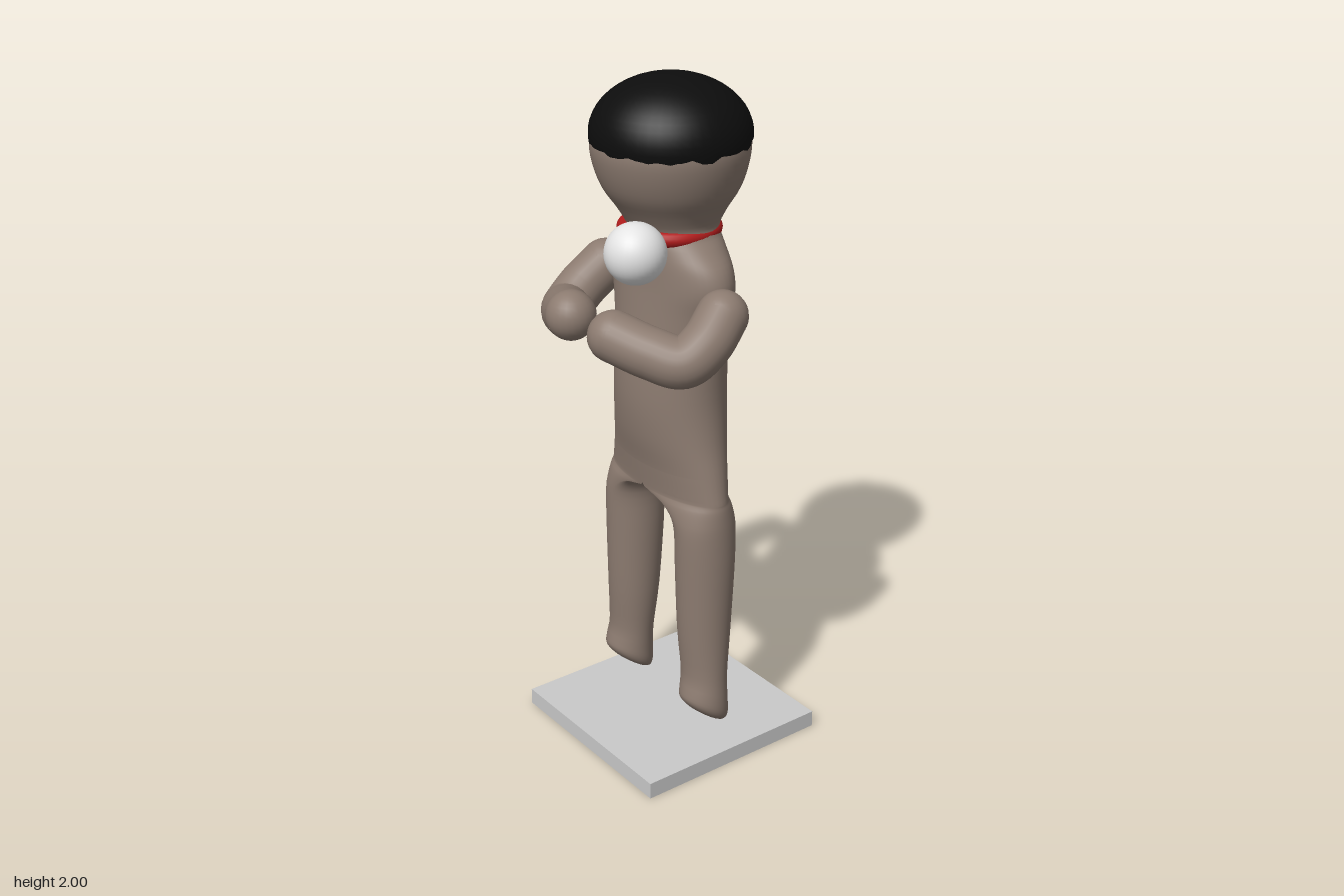
import * as THREE from 'three';

const mat = (name, color, side = THREE.FrontSide) => {
  const m = new THREE.MeshStandardMaterial({ color });
  m.name = name;
  m.side = side;
  return m;
};

// Smoothly subdivide rows of section parameters
function smooth(rows, steps) {
  const out = [];
  const at = i => rows[Math.max(0, Math.min(rows.length - 1, i))];
  for (let i = 0; i < rows.length - 1; i++) {
    for (let s = 0; s < steps; s++) {
      const t = s / steps;
      out.push(rows[i].map((b, k) => {
        const a = at(i - 1)[k], c = at(i + 1)[k], d = at(i + 2)[k];
        return b + 0.5 * t * (c - a + t * (2 * a - 5 * b + 4 * c - d + t * (3 * (b - c) + d - a)));
      }));
    }
  }
  out.push(rows[rows.length - 1]);
  return out;
}

// Loft downwards through rows of [y, centre x, radius +x, radius -x, centre z, radius z, slope]
function loft(rows, n = 48) {
  const pos = [], index = [];
  rows.forEach(([y, cx, rp, rn, cz, rz, slope], i) => {
    for (let j = 0; j < n; j++) {
      const a = j / n * Math.PI * 2, c = Math.cos(a), s = Math.sin(a);
      pos.push(cx + c * (c > 0 ? rp : rn), y + slope * s * rz, cz + s * rz);
      if (i < rows.length - 1) {
        const p = i * n + j, q = i * n + (j + 1) % n;
        index.push(p, q, p + n, q, q + n, p + n);
      }
    }
  });
  const g = new THREE.BufferGeometry();
  g.setAttribute('position', new THREE.Float32BufferAttribute(pos, 3));
  g.setIndex(index);
  g.computeVertexNormals();
  return g;
}

export function createModel() {
  const root = new THREE.Group();
  const skin = mat('skin', 0x8c7b70);
  const black = mat('hair black', 0x0d0d0d, THREE.DoubleSide);
  const red = mat('collar red', 0xb01c1c);
  const white = mat('ball white', 0xe4e4e4);
  const grey = mat('base grey', 0xc9c9c9);
  const add = (name, geo, material, x = 0, y = 0, z = 0, parent = root) => {
    const m = new THREE.Mesh(geo, material);
    m.name = name;
    m.position.set(x, y, z);
    parent.add(m);
    return m;
  };

  // Base plate
  add('base', new THREE.BoxGeometry(0.62, 0.05, 0.615), grey, 0, 0.025, -0.018);

  // Head and torso: [y, half width, centre z, half depth]
  const trunk = [
    [1.95, 0.13, -0.017, 0.13], [1.90, 0.192, -0.017, 0.192], [1.83, 0.217, -0.016, 0.217],
    [1.77, 0.214, -0.016, 0.213], [1.70, 0.192, -0.018, 0.19], [1.64, 0.157, -0.02, 0.15],
    [1.59, 0.14, -0.022, 0.122], [1.55, 0.175, -0.022, 0.119], [1.50, 0.22, -0.022, 0.118],
    [1.44, 0.235, -0.022, 0.12], [1.37, 0.212, -0.02, 0.125], [1.28, 0.196, -0.018, 0.132],
    [1.12, 0.19, -0.015, 0.14], [1.00, 0.203, -0.015, 0.131], [0.90, 0.226, -0.015, 0.11],
    [0.83, 0.241, -0.014, 0.099],
  ].map(([y, rx, cz, rz]) => [y, 0, rx, rx, cz, rz, 0]);
  add('headAndTorso', loft(smooth(trunk, 4)), skin);

  // Legs: half sections of the hips that close into round legs below the arch
  const leg = [
    [0.90, 0, 0.226, 0, -0.015, 0.11, 0], [0.83, 0, 0.241, 0, -0.014, 0.099, 0],
    [0.815, 0.03, 0.213, 0.025, -0.014, 0.097, 0], [0.80, 0.085, 0.161, 0.04, -0.014, 0.095, 0],
    [0.77, 0.135, 0.114, 0.064, -0.014, 0.093, 0], [0.72, 0.165, 0.087, 0.081, -0.013, 0.091, 0],
    [0.60, 0.17, 0.085, 0.085, -0.012, 0.087, 0], [0.40, 0.173, 0.08, 0.08, -0.008, 0.077, 0],
    [0.26, 0.181, 0.074, 0.074, -0.004, 0.065, 0.1], [0.19, 0.186, 0.075, 0.075, 0, 0.069, 0.35],
    [0.15, 0.187, 0.074, 0.074, 0.001, 0.072, 0.5], [0.125, 0.186, 0.063, 0.063, -0.002, 0.061, 0.6],
    [0.113, 0.186, 0.04, 0.04, -0.004, 0.04, 0.65], [0.11, 0.186, 0, 0, -0.004, 0, 0.65],
  ];
  const right = leg.map(([y, cx, rp, rn, ...rest]) => [y, -cx, rn, rp, ...rest]);
  add('leftLeg', loft(smooth(leg, 3)), skin);
  add('rightLeg', loft(smooth(right, 3)), skin);

  // Bent arms with rounded ends
  for (const s of [1, -1]) {
    const arm = new THREE.Group();
    arm.name = s > 0 ? 'leftArm' : 'rightArm';
    root.add(arm);
    const path = new THREE.CatmullRomCurve3([
      [0.268, 1.405, 0.015], [0.285, 1.345, 0.085], [0.27, 1.305, 0.145], [0.2, 1.32, 0.198], [0.1, 1.35, 0.25],
    ].map(([x, y, z]) => new THREE.Vector3(s * x, y, z)));
    add('armTube', new THREE.TubeGeometry(path, 40, 0.071, 24), skin, 0, 0, 0, arm);
    for (const t of [0, 1]) {
      const p = path.getPoint(t);
      add(t ? 'hand' : 'shoulder', new THREE.SphereGeometry(0.071, 24, 16), skin, p.x, p.y, p.z, arm);
    }
  }

  // Hair cap with an uneven lower edge
  const hair = new THREE.SphereGeometry(1, 48, 14, 0, Math.PI * 2, 0, 1.74);
  hair.scale(0.222, 0.16, 0.222);
  const hp = hair.attributes.position;
  for (let j = 0; j <= 48; j++) {
    const i = 14 * 49 + j, k = j % 48;
    hp.setY(i, hp.getY(i) + 0.009 * Math.sin(k * Math.PI / 4) * Math.cos(k * Math.PI / 6) + (k % 3 ? 0 : 0.008));
  }
  add('hair', hair, black, 0, 1.84, -0.017);

  // Collar and ball
  const collar = new THREE.TorusGeometry(0.124, 0.021, 16, 48);
  collar.rotateX(Math.PI / 2);
  add('collar', collar, red, 0, 1.58, -0.013);
  add('ball', new THREE.SphereGeometry(0.083, 32, 24), white, 0.168, 1.595, 0.225);

  return root;
}
